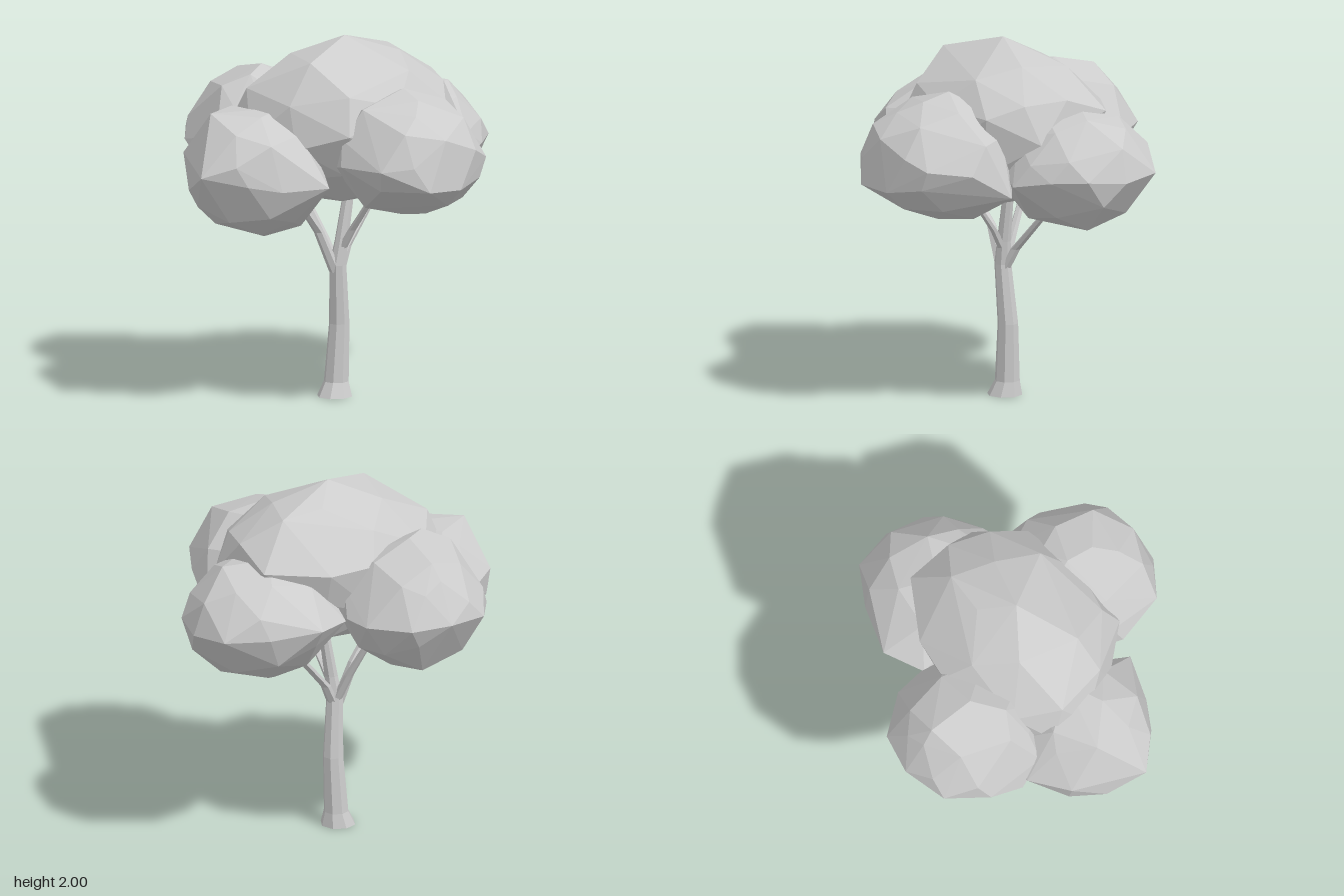
import * as THREE from 'three';
import { mergeVertices } from 'three/addons/utils/BufferGeometryUtils.js';
import { ConvexGeometry } from 'three/addons/geometries/ConvexGeometry.js';

const grey = new THREE.MeshStandardMaterial({ color: 0xcccccc, flatShading: true });
grey.name = 'plain grey';

// Faceted limb through horizontal rings [x, y, z, radius]
function limb(name, rings, sides) {
  const pos = [], index = [];
  for (const [x, y, z, r] of rings) {
    for (let i = 0; i < sides; i++) {
      const a = (i / sides) * Math.PI * 2 + 0.2;
      pos.push(x + r * Math.sin(a), y, z + r * Math.cos(a));
    }
  }
  for (let k = 0; k < rings.length - 1; k++) {
    for (let i = 0; i < sides; i++) {
      const a = k * sides + i, b = k * sides + ((i + 1) % sides);
      index.push(a, b, b + sides, a, b + sides, a + sides);
    }
  }
  const top = (rings.length - 1) * sides;
  for (let i = 1; i < sides - 1; i++) {
    index.push(0, i + 1, i, top, top + i, top + i + 1);
  }
  const geo = new THREE.BufferGeometry();
  geo.setAttribute('position', new THREE.Float32BufferAttribute(pos, 3));
  geo.setIndex(index);
  geo.computeVertexNormals();
  const mesh = new THREE.Mesh(geo, grey);
  mesh.name = name;
  return mesh;
}

// Leaf clump: a coarse ball stretched to its radii, with some corners pulled to given points
function clump(name, centre, radii, turn, corners) {
  const ball = new THREE.IcosahedronGeometry(1, 1);
  ball.deleteAttribute('normal');
  ball.deleteAttribute('uv');
  ball.rotateY(turn).rotateX(turn * 0.6);
  const p = mergeVertices(ball, 1e-3).getAttribute('position');
  const c = new THREE.Vector3(...centre), s = new THREE.Vector3(...radii);
  const dirs = [], points = [], used = new Set();
  for (let i = 0; i < p.count; i++) {
    const d = new THREE.Vector3().fromBufferAttribute(p, i);
    dirs.push(d);
    points.push(d.clone().multiply(s).multiplyScalar(0.97).add(c));
  }
  for (const corner of corners) {
    const target = new THREE.Vector3(...corner);
    const dir = target.clone().sub(c).divide(s).normalize();
    let best = -1;
    dirs.forEach((d, i) => {
      if (!used.has(i) && (best < 0 || d.dot(dir) > dirs[best].dot(dir))) best = i;
    });
    used.add(best);
    points[best].copy(target);
  }
  const mesh = new THREE.Mesh(new ConvexGeometry(points), grey);
  mesh.name = name;
  return mesh;
}

export function createModel() {
  const tree = new THREE.Group();
  tree.name = 'tree';

  // Trunk with a flared foot, running on into the middle branch
  tree.add(limb('trunk', [
    [-0.018, 0, -0.048, 0.097], [-0.005, 0.08, -0.058, 0.069], [0.011, 0.4, -0.055, 0.057],
    [-0.005, 0.73, -0.032, 0.047], [0.015, 0.86, -0.03, 0.038], [0.065, 1.16, -0.04, 0.03],
  ], 8));

  // Side branches, each with an elbow
  const branches = [
    ['leftBranch', [0.01, 0.71, -0.04], [0.06, 0.82, -0.08], [0.31, 1.13, -0.22], 0.033],
    ['rightBranch', [-0.02, 0.69, -0.03], [-0.12, 0.92, -0.01], [-0.28, 1.14, 0.07], 0.034],
    ['frontBranch', [0.015, 0.82, -0.02], [0.05, 0.93, 0.04], [0.13, 1.18, 0.22], 0.026],
    ['backBranch', [-0.01, 0.72, -0.045], [-0.06, 0.88, -0.11], [-0.15, 1.12, -0.22], 0.03],
  ];
  for (const [name, from, elbow, to, r] of branches) {
    tree.add(limb(name, [[...from, r], [...elbow, r * 0.85], [...to, r * 0.65]], 6));
  }

  // Crown
  const crown = new THREE.Group();
  crown.name = 'crown';
  crown.add(
    clump('topFoliage', [0.03, 1.52, -0.01], [0.64, 0.45, 0.5], 0.3, [
      [0.03, 2, -0.02], [-0.25, 1.91, 0.22], [0.36, 1.89, -0.26], [0.58, 1.75, -0.18],
      [0.67, 1.53, 0], [-0.54, 1.75, 0], [-0.1, 1.75, 0.43], [-0.13, 1.55, 0.52],
      [0.17, 1.64, -0.53], [-0.08, 1.66, -0.5], [0.52, 1.66, -0.43], [0.51, 1.66, 0.26],
      [-0.61, 1.55, -0.08], [-0.45, 1.65, -0.25], [0.05, 1.1, 0],
    ]),
    clump('frontFoliage', [0.24, 1.42, 0.44], [0.43, 0.35, 0.42], 0.9, [
      [0.21, 1.29, 0.87], [0.23, 1.77, 0.37], [0.67, 1.39, 0.4], [0.66, 1.25, 0.17],
      [0.61, 1.42, 0.64], [0.41, 1.28, 0.8], [-0.04, 1.4, 0.78], [-0.04, 1.69, 0.48],
      [0.46, 1.7, 0.4], [0.23, 1.07, 0.36], [-0.18, 1.39, 0.52], [0.2, 1.67, 0.66],
      [0.43, 1.1, 0.3], [0, 1.13, 0.4], [0.61, 1.54, 0.3], [0.21, 1.16, 0.6],
      [0.26, 1.73, 0.53], [0.25, 1.3, 0.06],
    ]),
    clump('leftFoliage', [0.49, 1.36, -0.27], [0.42, 0.34, 0.43], 1.6, [
      [0.45, 1.69, -0.3], [0.7, 1.66, -0.25], [0.85, 1.52, -0.4], [0.91, 1.36, -0.18],
      [0.91, 1.34, -0.4], [0.88, 1.21, -0.28], [0.71, 1.05, -0.25], [0.43, 1.02, -0.34],
      [0.27, 1.4, -0.7], [0.56, 1.37, -0.68], [0.8, 1.36, -0.61], [0.81, 1.35, 0],
      [0.65, 1.31, 0.16], [0.55, 1.65, -0.08], [0.5, 1.62, -0.51], [0.44, 1.08, -0.01],
      [0.5, 1.2, -0.63], [0.09, 1.38, -0.54], [0.25, 1.08, -0.2],
    ]),
    clump('rightFoliage', [-0.54, 1.31, 0.12], [0.38, 0.35, 0.41], 0.5, [
      [-0.78, 1.645, 0.1], [-0.6, 1.64, -0.08], [-0.38, 1.65, 0.1], [-0.915, 1.34, 0.33],
      [-0.905, 1.23, 0.1], [-0.87, 1.4, -0.09], [-0.76, 1.04, 0.12], [-0.48, 0.95, 0.12],
      [-0.28, 1, 0.15], [-0.18, 1.34, 0.2], [-0.69, 1.3, 0.46], [-0.51, 1.27, 0.51],
      [-0.25, 1.28, 0.53], [-0.7, 1.35, -0.28], [-0.23, 1.13, 0.08], [-0.3, 1.25, -0.14],
    ]),
    clump('backFoliage', [-0.31, 1.41, -0.45], [0.41, 0.36, 0.42], 1.2, [
      [-0.3, 1.78, -0.44], [-0.35, 1.72, -0.69], [-0.28, 1.58, -0.8], [-0.18, 1.41, -0.88],
      [-0.41, 1.42, -0.87], [0.03, 1.4, -0.72], [0.09, 1.4, -0.56], [-0.63, 1.4, -0.74],
      [-0.72, 1.38, -0.5], [-0.71, 1.3, -0.31], [-0.65, 1.45, -0.18], [-0.57, 1.7, -0.32],
      [-0.3, 1.1, -0.68], [-0.3, 1.05, -0.42], [-0.13, 1.1, -0.13], [-0.6, 1.24, -0.2],
      [-0.42, 1.76, -0.28],
    ]),
  );
  tree.add(crown);
  return tree;
}
